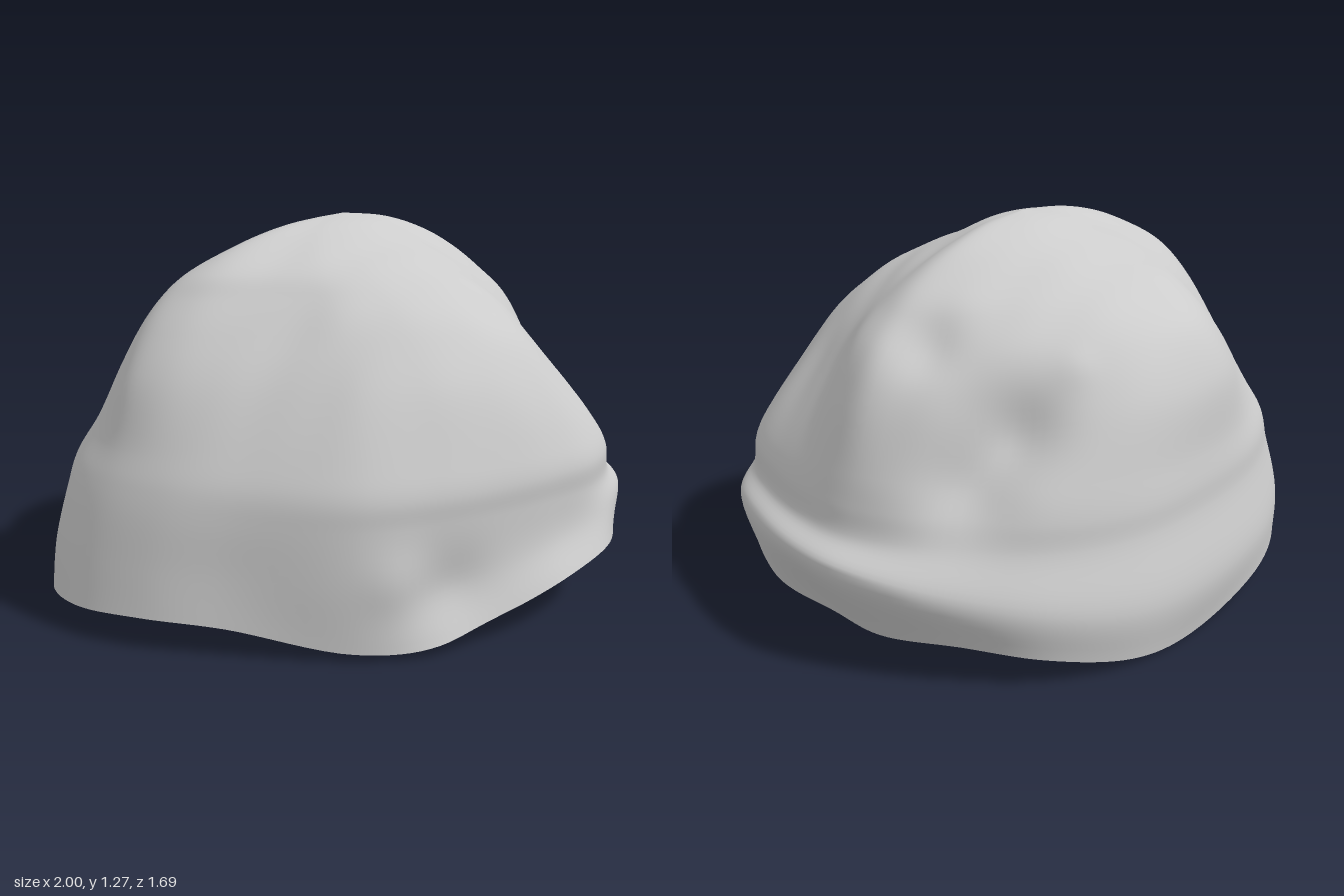
import * as THREE from 'three';

// Lower hem, counterclockwise from above: hem x, y, z then the fold above it x, y, z
const hem = [
  [-1, .09, -.2, -.97, .25, -.2],
  [-.93, .1, .04, -.91, .25, .03],
  [-.78, .09, .27, -.76, .25, .26],
  [-.52, .025, .58, -.53, .22, .57],
  [-.3, .035, .74, -.28, .2, .7],
  [-.05, .1, .8, -.05, .24, .76],
  [.2, .17, .845, .2, .28, .79],
  [.45, .21, .81, .45, .32, .78],
  [.7, .2, .6, .7, .34, .65],
  [.78, .1, .42, .87, .35, .4],
  [.84, .09, .1, .97, .35, .15],
  [.86, .08, -.1, .995, .34, -.05],
  [.83, .12, -.4, .92, .3, -.32],
  [.7, .09, -.62, .74, .25, -.61],
  [.45, .03, -.77, .46, .2, -.79],
  [.15, 0, -.81, .08, .18, -.845],
  [-.35, .05, -.8, -.35, .2, -.81],
  [-.72, .06, -.65, -.72, .22, -.65],
  [-.95, .08, -.42, -.93, .22, -.42],
];

// Crown sections: y, left x, right x, front z, back z
const sections = [
  [.41, -.93, .91, .78, -.8],
  [.5, -.9, .885, .785, -.795],
  [.6, -.86, .86, .76, -.78],
  [.8, -.8, .8, .68, -.76],
  [.95, -.71, .72, .56, -.68],
  [1.05, -.62, .61, .43, -.56],
  [1.12, -.54, .51, .31, -.42],
  [1.2, -.37, .37, .13, -.25],
  [1.25, -.19, .22, .03, -.15],
];
const apex = new THREE.Vector3(.04, 1.275, -.06);

// Hollows (positive) and bumps (negative): x, y, z, radius, depth
const dents = [
  [.78, .6, -.38, .15, .07],
  [.66, .78, -.48, .15, .09],
  [.62, .95, -.12, .11, .05],
  [.45, .96, -.57, .06, -.04],
  [-.22, .17, .74, .13, .03],
  [-.42, .25, .66, .1, -.02],
];

const ramp = (v, a, b) => THREE.MathUtils.smoothstep(v, a, b);

// Soft cloth details applied to every point of the crown
function shapeCloth(p) {
  const high = ramp(p.y, .5, .85) * (1 - ramp(p.y, 1.15, 1.26));
  // raised ridge running from side to side
  const off = (p.z + .06 - .14 * p.x) / .17;
  p.x *= 1 - .04 * high * (1 - Math.exp(-off * off));
  const out = p.clone().sub(new THREE.Vector3(0, .35, 0)).normalize();
  // fine wrinkles along the ridge
  let push = .003 * high * Math.sin(p.z * 31 - p.x * 5) * Math.sin(p.x * 9 + p.z * 4 + 1);
  for (const [x, y, z, r, depth] of dents) {
    const d2 = (p.x - x) ** 2 + (p.y - y) ** 2 + (p.z - z) ** 2;
    push -= depth * Math.exp(-d2 / (r * r));
  }
  return p.addScaledVector(out, push);
}

// Point of a crown section in the direction (ux, uz); upper sections taper to a lens
function sectionPoint([y, xl, xr, zf, zb], ux, uz) {
  const diagonal = (2 * ux * uz / (ux * ux + uz * uz)) ** 2;
  const lens = 1 - (ux * uz > 0 ? .2 : .1) * diagonal * ramp(y, .45, 1);
  const x = (xl + xr) / 2 + lens * ux * (xr - xl) / 2;
  const z = (zf + zb) / 2 + lens * uz * (zf - zb) / 2;
  return new THREE.Vector3(x, y, z + .08 * x * ramp(y, .6, 1.1));
}

function buildCloth(columns, rows) {
  const loop = (k) => new THREE.CatmullRomCurve3(
    hem.map((h) => new THREE.Vector3(h[k], h[k + 1], h[k + 2])), true);
  const edge = loop(0), fold = loop(3);
  const positions = [], index = [];
  for (let i = 0; i < columns; i++) {
    const e = edge.getPoint(i / columns), f = fold.getPoint(i / columns);
    const ux = (f.x - .01) / .98, uz = (f.z + .0275) / .8175;
    const rib = new THREE.CatmullRomCurve3(
      [e, f, ...sections.map((s) => sectionPoint(s, ux, uz)), apex]);
    for (let j = 0; j <= rows; j++) {
      const p = shapeCloth(rib.getPoint(j / rows));
      positions.push(p.x, p.y, p.z);
    }
  }
  const at = (i, j) => (i % columns) * (rows + 1) + j;
  for (let i = 0; i < columns; i++) {
    for (let j = 0; j < rows; j++) {
      const a = at(i, j), b = at(i + 1, j), c = at(i + 1, j + 1), d = at(i, j + 1);
      index.push(a, b, c);
      if (j < rows - 1) index.push(a, c, d);
    }
  }
  const geometry = new THREE.BufferGeometry();
  geometry.setAttribute('position', new THREE.Float32BufferAttribute(positions, 3));
  geometry.setIndex(index);
  geometry.computeVertexNormals();
  return geometry;
}

export function createModel() {
  const group = new THREE.Group();
  group.name = 'softCap';
  const cloth = new THREE.Mesh(
    buildCloth(152, 77),
    new THREE.MeshStandardMaterial({ color: 0xcccccc, side: THREE.DoubleSide }));
  cloth.name = 'capShell';
  group.add(cloth);
  return group;
}
